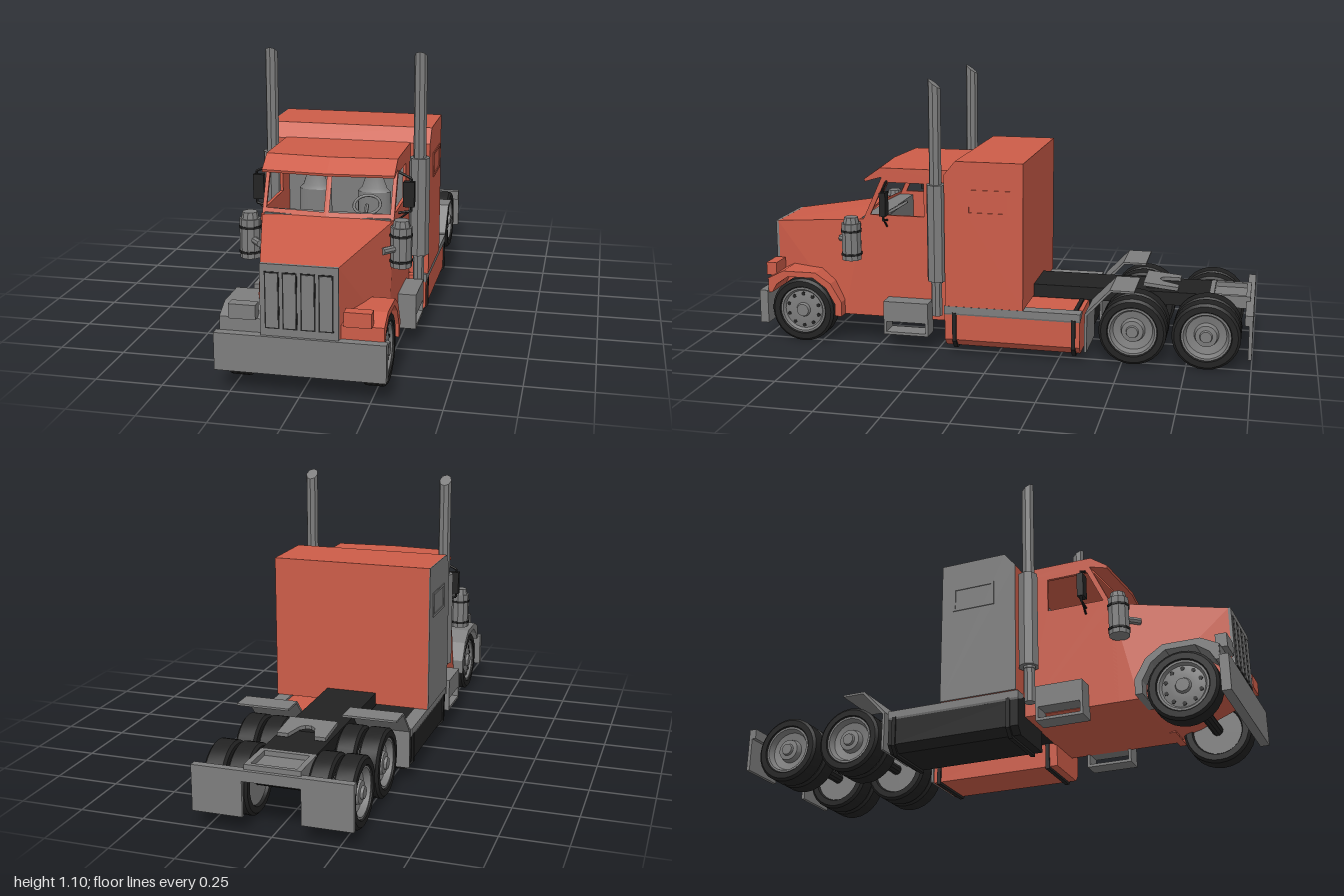
import * as THREE from 'three';
import { toCreasedNormals } from 'three/addons/utils/BufferGeometryUtils.js';
import { ConvexGeometry } from 'three/addons/geometries/ConvexGeometry.js';

const make = (name, color) => Object.assign(new THREE.MeshStandardMaterial({ color }), { name });
const red = make('red paint', 0xcc5c48);
const grey = make('grey metal', 0x7d7d7d);
const black = make('black rubber', 0x222222);
const redSheet = make('red sheet', 0xcc5c48);
redSheet.side = THREE.DoubleSide;

const V = (x, y, z) => new THREE.Vector3(x, y, z);
const P = (pts) => pts.map(([a, b]) => new THREE.Vector2(a, b));

function add(parent, name, geo, mat, x = 0, y = 0, z = 0) {
  const mesh = new THREE.Mesh(geo, mat);
  mesh.name = name;
  mesh.position.set(x, y, z);
  parent.add(mesh);
  return mesh;
}
// box given by its extents
function box(parent, name, mat, x0, x1, y0, y1, z0, z1) {
  const g = new THREE.BoxGeometry(Math.abs(x1 - x0), y1 - y0, Math.abs(z1 - z0));
  return add(parent, name, g, mat, (x0 + x1) / 2, (y0 + y1) / 2, (z0 + z1) / 2);
}
function extrude(pts, depth, hole) {
  const shape = new THREE.Shape(P(pts));
  if (hole) shape.holes.push(new THREE.Path(P(hole)));
  return new THREE.ExtrudeGeometry(shape, { depth, bevelEnabled: false });
}
// side profile in (z, y), extruded across x from a to b
function across(pts, a, b, hole) {
  const g = extrude(pts, Math.abs(b - a), hole);
  return g.rotateY(-Math.PI / 2).translate(Math.max(a, b), 0, 0);
}
const cyl = (r, h, n, r2 = r) => toCreasedNormals(new THREE.CylinderGeometry(r2, r, h, n), 0.4);
// straight rod between two points
function rod(parent, name, mat, a, b, r, n = 6) {
  const m = add(parent, name, cyl(r, a.distanceTo(b), n), mat);
  m.position.copy(a).lerp(b, 0.5);
  m.quaternion.setFromUnitVectors(V(0, 1, 0), b.clone().sub(a).normalize());
}
const lathe = (pts, n = 28) => toCreasedNormals(new THREE.LatheGeometry(P(pts), n), 0.6);
const rect = (a, b, c, d) => [[a, c], [b, c], [b, d], [a, d]];

function wheel(parent, name, s, x, z, front) {
  const g = new THREE.Group();
  g.name = name;
  g.position.set(s * x, 0.133, z);
  g.rotation.z = -s * Math.PI / 2;
  parent.add(g);
  add(g, 'tire', lathe([[0.095, -0.03], [0.1, -0.041], [0.123, -0.041], [0.133, -0.032],
    [0.133, 0.032], [0.123, 0.041], [0.1, 0.041], [0.095, 0.03], [0.095, -0.03]]), black);
  const face = front
    ? [[0, -0.03], [0.096, -0.03], [0.096, 0.036], [0.088, 0.036], [0.08, 0.024], [0.05, 0.03], [0.03, 0.03], [0.025, 0.042], [0, 0.042]]
    : [[0, -0.03], [0.096, -0.03], [0.096, 0.036], [0.088, 0.036], [0.078, 0.012], [0.048, 0.006], [0.042, 0.03], [0.025, 0.032], [0.022, 0.042], [0, 0.042]];
  add(g, 'rim', lathe(face), grey);
  if (front) for (let i = 0; i < 10; i++) {
    const a = i * Math.PI / 5;
    add(g, 'rim hole', cyl(0.008, 0.004, 8), black, 0.067 * Math.cos(a), 0.027, 0.067 * Math.sin(a));
  }
}

function buildCab(root) {
  const cab = new THREE.Group();
  cab.name = 'cab';
  root.add(cab);
  // sleeper with one grey side
  const sleeper = [[-0.115, 0.205], [0.2, 0.205], [0.2, 0.735], [0.155, 0.79], [-0.115, 0.79]];
  add(cab, 'sleeper', across(sleeper, -0.323, 0.327), red);
  add(cab, 'grey sleeper side', across(sleeper, -0.327, -0.323), grey);
  for (const s of [-1, 1]) {
    add(cab, 'sleeper window frame', across(rect(-0.065, 0.11, 0.58, 0.68), s * 0.327, s * 0.331,
      rect(-0.055, 0.1, 0.59, 0.67)), s > 0 ? red : grey);
    // door wall with window opening
    add(cab, 'door wall', across([[0.2, 0.12], [0.575, 0.12], [0.575, 0.525], [0.56, 0.525], [0.48, 0.7], [0.2, 0.7]],
      s * 0.238, s * 0.25, [[0.305, 0.545], [0.53, 0.545], [0.468, 0.68], [0.305, 0.68]]), red);
    // roof half with visor, bowed forward at the middle
    const roof = across([[0.2, 0.738], [0.485, 0.738], [0.553, 0.69], [0.55, 0.68], [0.48, 0.7], [0.2, 0.7]], 0, s * 0.25);
    const p = roof.attributes.position;
    for (let i = 0; i < p.count; i++)
      if (p.getZ(i) > 0.4) p.setZ(i, p.getZ(i) + 0.02 * (1 - Math.abs(p.getX(i)) / 0.25));
    roof.computeVertexNormals();
    add(cab, 'roof and visor', roof, red);
    // windshield frame: strips on a slanted half pane
    const at = (u, v) => V(s * 0.25 * u, 0.525 + 0.175 * v, 0.585 - 0.025 * u - 0.08 * v);
    for (const [u0, u1, v0, v1] of [[0, 0.04, 0, 1], [0.94, 1, 0, 1], [0, 1, 0, 0.115], [0, 1, 0.87, 1]]) {
      const q = [at(u0, v0), at(u1, v0), at(u1, v1), at(u0, v1)];
      const strip = new THREE.BufferGeometry().setFromPoints([0, 1, 2, 0, 2, 3].map((i) => q[s > 0 ? i : 3 - i]));
      strip.computeVertexNormals();
      add(cab, 'windshield frame', strip, redSheet);
    }
    // seat
    add(cab, 'seat back', lathe([[0, 0.3], [0.068, 0.3], [0.065, 0.55], [0.05, 0.565], [0.038, 0.6], [0.03, 0.615], [0, 0.622]], 16)
      .scale(1, 1, 0.5), grey, s * 0.118, 0, 0.255);
    box(cab, 'seat cushion', grey, s * 0.05, s * 0.185, 0.3, 0.4, 0.25, 0.4);
  }
  box(cab, 'cab back lining', grey, -0.24, 0.24, 0.2, 0.71, 0.2, 0.208);
  box(cab, 'cab floor', grey, -0.238, 0.238, 0.27, 0.3, 0.2, 0.57);
  box(cab, 'cab underside', red, -0.24, 0.24, 0.12, 0.14, 0.2, 0.575);
  box(cab, 'dashboard', grey, -0.238, 0.238, 0.4, 0.53, 0.5, 0.57);
  const steering = add(cab, 'steering wheel', new THREE.TorusGeometry(0.05, 0.006, 6, 20), grey, 0.13, 0.55, 0.46);
  steering.rotation.x = -1.05;
  rod(cab, 'steering column', grey, V(0.13, 0.55, 0.46), V(0.13, 0.5, 0.52), 0.008);

  // hood tapering to the grille
  const hood = [V(0, 0.53, 0.588)];
  for (const s of [-1, 1]) hood.push(V(s * 0.25, 0.525, 0.56), V(s * 0.25, 0.12, 0.56), V(s * 0.25, 0.12, 0.65),
    V(s * 0.137, 0.473, 0.98), V(s * 0.137, 0.2, 0.98));
  add(cab, 'hood', new ConvexGeometry(hood), red);
  box(cab, 'grille surround', grey, -0.138, 0.138, 0.215, 0.474, 0.975, 0.988);
  for (const x of [-0.095, -0.032, 0.032, 0.095]) {
    box(cab, 'grille slot edge', black, x - 0.026, x + 0.026, 0.242, 0.447, 0.984, 0.99);
    box(cab, 'grille slot', grey, x - 0.021, x + 0.021, 0.247, 0.442, 0.986, 0.992);
  }
  box(cab, 'front bumper', grey, -0.305, 0.305, 0.077, 0.215, 0.965, 1);
}

function buildSide(root, s) {
  const side = new THREE.Group();
  side.name = s > 0 ? 'left side parts' : 'right side parts';
  root.add(side);
  const paint = s > 0 ? red : grey;
  // front fender arch and headlight
  add(side, 'front fender', across([[0.65, 0.12], [0.65, 0.18], [0.695, 0.255], [0.76, 0.298], [0.9, 0.298], [0.965, 0.265],
    [0.965, 0.205], [0.95, 0.205], [0.93, 0.24], [0.88, 0.275], [0.77, 0.275], [0.715, 0.235], [0.678, 0.17], [0.678, 0.12]],
  s * 0.13, s * 0.292), paint);
  box(side, 'fender front', paint, s * 0.135, s * 0.29, 0.215, 0.265, 0.945, 0.967);
  box(side, 'headlight', paint, s * 0.155, s * 0.252, 0.267, 0.32, 0.945, 0.988);
  wheel(side, 'front wheel', s, 0.243, 0.823, true);
  for (const z of [-0.54, -0.825]) for (const x of [0.152, 0.243]) wheel(side, 'rear wheel', s, x, z, false);

  // exhaust stack with slanted tip
  const pipe = new THREE.CylinderGeometry(0.025, 0.025, 0.8, 8).translate(0, 0.69, 0);
  const p = pipe.attributes.position;
  for (let i = 0; i < p.count; i++) if (p.getY(i) > 1) p.setY(i, 1.085 + p.getZ(i) * 0.75);
  pipe.computeVertexNormals();
  add(side, 'exhaust pipe', toCreasedNormals(pipe, 0.4), grey, s * 0.294, 0, 0.243);
  add(side, 'exhaust muffler', cyl(0.04, 0.39, 8), grey, s * 0.294, 0.495, 0.24);
  add(side, 'exhaust elbow', cyl(0.022, 0.15, 8), grey, s * 0.294, 0.23, 0.243);

  // air cleaner
  add(side, 'air cleaner', cyl(0.04, 0.15, 10), grey, s * 0.285, 0.44, 0.6);
  add(side, 'air cleaner cap', cyl(0.034, 0.03, 10, 0.028), grey, s * 0.285, 0.525, 0.6);
  for (const y of [0.388, 0.484]) add(side, 'air cleaner band', cyl(0.043, 0.009, 10), black, s * 0.285, y, 0.6);
  rod(side, 'air intake', grey, V(s * 0.275, 0.437, 0.61), V(s * 0.228, 0.437, 0.665), 0.014, 8);

  // mirror
  box(side, 'mirror', black, s * 0.268, s * 0.31, 0.552, 0.648, 0.447, 0.472);
  const arm = [V(s * 0.245, 0.685, 0.46), V(s * 0.298, 0.66, 0.46), V(s * 0.298, 0.535, 0.46), V(s * 0.245, 0.525, 0.46)];
  for (let i = 0; i < 3; i++) rod(side, 'mirror arm', black, arm[i], arm[i + 1], 0.005);
  rod(side, 'mirror brace', black, V(s * 0.298, 0.54, 0.46), V(s * 0.25, 0.5, 0.46), 0.004);

  // cab step: solid top with an open foot frame
  add(side, 'cab step', across(rect(0.275, 0.46, 0.068, 0.205), s * 0.24, s * 0.32, rect(0.286, 0.449, 0.079, 0.122)), grey);

  // tank with walkway and straps
  const section = [[0.08, 0.035], [0.29, 0.035], [0.318, 0.065], [0.318, 0.17], [0.27, 0.195], [0.08, 0.195]];
  const along = (pts, z0, z1) => extrude(pts.map(([x, y]) => [s * x, y]), z1 - z0).translate(0, 0, z0);
  add(side, 'tank', along(section, -0.34, 0.205), s > 0 ? red : black);
  add(side, 'tank walkway', along([[0.267, 0.19], [0.319, 0.168], [0.322, 0.175], [0.322, 0.203], [0.267, 0.203]], -0.342, 0.207), grey);
  const strap = section.map(([x, y]) => [0.2 + (x - 0.2) * 1.05, 0.117 + (y - 0.117) * 1.12]);
  for (const z of [0.165, -0.315]) add(side, 'tank strap', along(strap, z - 0.008, z + 0.008), black);

  // bent sheet fender ahead of the rear wheels
  add(side, 'rear quarter fender', across([[-0.358, 0.05], [-0.358, 0.205], [-0.455, 0.308], [-0.55, 0.308], [-0.55, 0.3],
    [-0.46, 0.3], [-0.368, 0.2], [-0.368, 0.05]], s * 0.108, s * 0.32), grey);
  box(side, 'mud flap', grey, s * 0.11, s * 0.302, 0.06, 0.235, -1, -0.986);
}

function buildChassis(root) {
  const chassis = new THREE.Group();
  chassis.name = 'chassis';
  root.add(chassis);
  box(chassis, 'frame', black, -0.105, 0.105, 0.2, 0.253, -0.83, 0.2);
  box(chassis, 'frame underside', black, -0.085, 0.085, 0.13, 0.2, -0.34, 0.2);
  for (const z of [0.823, -0.54, -0.825]) rod(chassis, 'axle', black, V(-0.24, 0.133, z), V(0.24, 0.133, z), 0.022, 10);
  // trailer coupling plate with a rear notch
  const plate = extrude([[-0.095, 0.56], [0.095, 0.56], [0.095, 0.7], [0.052, 0.7], [0.03, 0.635], [0.012, 0.62],
    [-0.012, 0.62], [-0.03, 0.635], [-0.052, 0.7], [-0.095, 0.7]], 0.015);
  const coupling = add(chassis, 'coupling plate', plate.rotateX(-Math.PI / 2).translate(0, 0, 0.56), grey, 0, 0.27, -0.56);
  coupling.rotation.x = -0.1;
  box(chassis, 'coupling mount', black, -0.06, 0.06, 0.25, 0.268, -0.62, -0.57);
  // rear deck tray
  box(chassis, 'rear deck', grey, -0.1, 0.1, 0.205, 0.235, -0.985, -0.825);
  for (const s of [-1, 1]) box(chassis, 'deck side rim', grey, s * 0.086, s * 0.107, 0.205, 0.254, -0.985, -0.825);
  box(chassis, 'deck front rim', grey, -0.105, 0.105, 0.205, 0.254, -0.842, -0.825);
  box(chassis, 'deck rear rim', grey, -0.105, 0.105, 0.205, 0.254, -0.985, -0.968);
  box(chassis, 'rear crossbar', grey, -0.302, 0.302, 0.195, 0.235, -1, -0.97);
}

export function createModel() {
  const truck = new THREE.Group();
  truck.name = 'semi truck';
  buildCab(truck);
  buildChassis(truck);
  for (const s of [-1, 1]) buildSide(truck, s);
  return truck;
}
